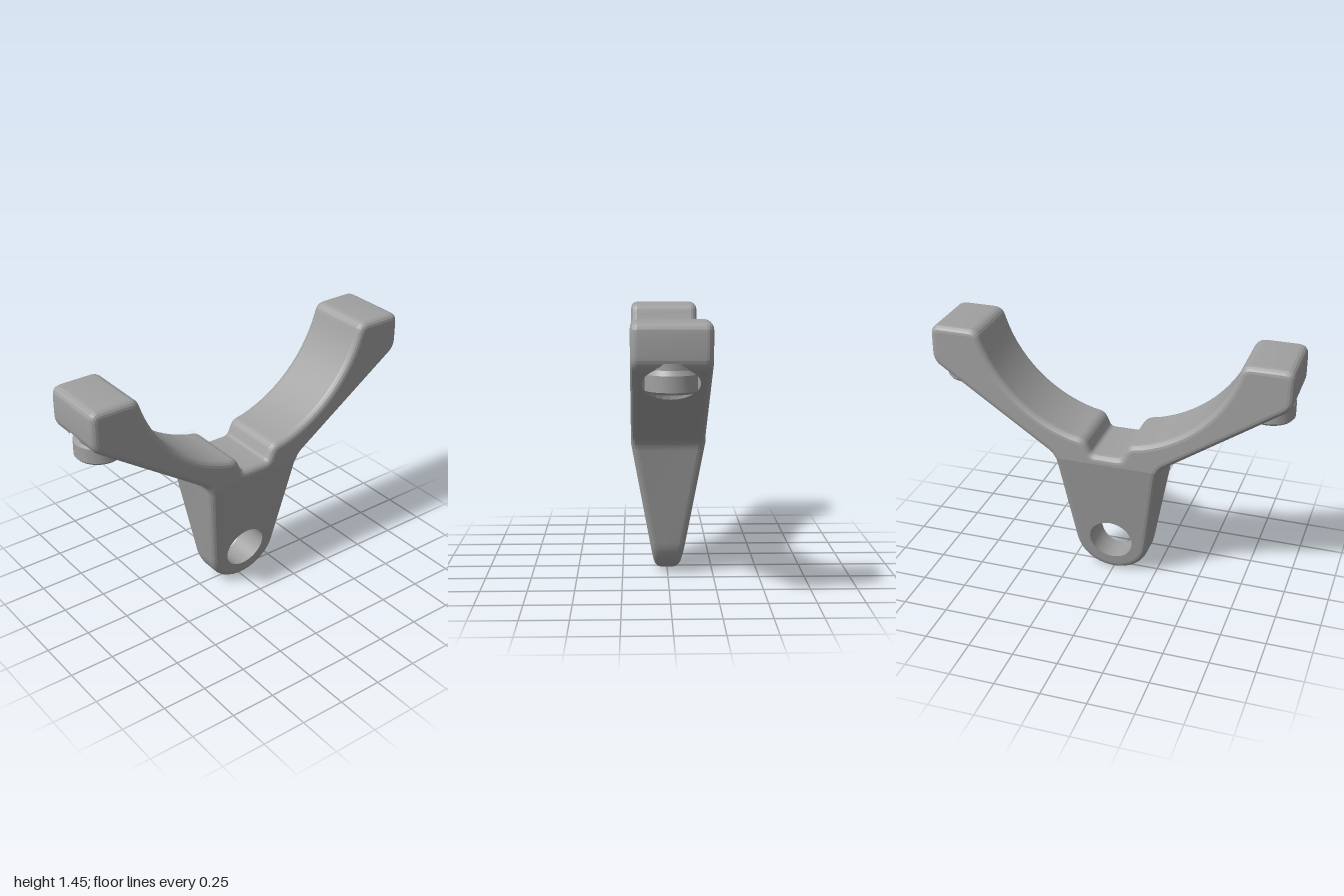
import * as THREE from 'three';
import { toCreasedNormals } from 'three/addons/utils/BufferGeometryUtils.js';

const LUG_Y = 0.215, LUG_R = 0.215, HOLE_R = 0.125;
const BEVEL = 0.035, HALF_DEPTH = 0.2, TAPER_Y = 0.75, TAPER = 0.179;
const BOLT_X = 0.855, POCKET_R = 0.145, POCKET_TOP = 1.25, SIDES = 24;

// Corner list [x, y, cut]: a corner with a cut is rounded off by that length
function roundedOutline(corners) {
  const out = [];
  const v = corners.map(([x, y]) => new THREE.Vector2(x, y));
  const n = v.length;
  corners.forEach(([, , cut], i) => {
    if (!cut) { out.push(v[i]); return; }
    const toward = (q) => v[i].clone().add(q.clone().sub(v[i]).setLength(cut));
    const curve = new THREE.QuadraticBezierCurve(toward(v[(i + n - 1) % n]), v[i], toward(v[(i + 1) % n]));
    out.push(...curve.getPoints(5));
  });
  return out;
}

// Y-shaped outline: lug, arms, round saddle and notch
function bodyShape() {
  const half = [
    [0.298, 0.76, 0.05],
    [1, 1.235, 0.05],
    [1, 1.448, 0.055],
    [0.727, 1.448, 0.05],
  ];
  for (let i = 0; i <= 14; i++) {
    const a = 1.25 - (i / 14) * 0.99;
    half.push([0.746 * Math.sin(a), 1.62 - 0.746 * Math.cos(a), 0]);
  }
  half.push([0.122, 0.887, 0.04], [0.085, 0.8, 0.022]);
  const mirrored = half.map(([x, y, c]) => [-x, y, c]).reverse();
  const lug = [];
  for (let i = 0; i <= 20; i++) {
    const a = Math.PI + 0.15 + (i / 20) * (Math.PI - 0.3);
    lug.push([LUG_R * Math.cos(a), LUG_Y + LUG_R * Math.sin(a), 0]);
  }
  const shape = new THREE.Shape(roundedOutline([...lug, ...half, ...mirrored]));
  const hole = new THREE.Path();
  hole.absarc(0, LUG_Y, HOLE_R, 0, Math.PI * 2, true);
  shape.holes.push(hole);
  return shape;
}

// Polygon helpers for cutting
function toPolys(geometry) {
  const g = geometry.index ? geometry.toNonIndexed() : geometry;
  const p = g.attributes.position, polys = [];
  for (let i = 0; i < p.count; i += 3) {
    polys.push([0, 1, 2].map((k) => new THREE.Vector3().fromBufferAttribute(p, i + k)));
  }
  return polys;
}

// Returns [part in front of the plane, part behind it]
function split(poly, plane) {
  const front = [], back = [];
  const d = poly.map((p) => {
    const s = plane.distanceToPoint(p);
    return Math.abs(s) < 1e-6 ? 0 : s;
  });
  poly.forEach((p, i) => {
    const j = (i + 1) % poly.length;
    if (d[i] >= 0) front.push(p.clone());
    if (d[i] <= 0) back.push(p.clone());
    if (d[i] * d[j] < 0) {
      const m = p.clone().lerp(poly[j], d[i] / (d[i] - d[j]));
      front.push(m);
      back.push(m.clone());
    }
  });
  return [d.some((s) => s > 0) ? front : [], d.some((s) => s < 0) ? back : []];
}

// Removes the convex volume bounded by outward planes
function subtract(polys, planes) {
  return polys.flatMap((poly) => {
    const kept = [];
    let rest = poly;
    for (const plane of planes) {
      const [outside, inside] = split(rest, plane);
      if (outside.length > 2) kept.push(outside);
      rest = inside;
      if (rest.length < 3) return [poly];
    }
    return kept;
  });
}

function clipBehind(polys, plane) {
  return polys.map((p) => split(p, plane)[1]).filter((p) => p.length > 2);
}

function toGeometry(polys) {
  const pos = [], tri = new THREE.Triangle();
  for (const p of polys) {
    for (let i = 1; i < p.length - 1; i++) {
      tri.set(p[0], p[i], p[i + 1]);
      if (tri.getArea() > 1e-9) [p[0], p[i], p[i + 1]].forEach((q) => pos.push(q.x, q.y, q.z));
    }
  }
  const g = new THREE.BufferGeometry();
  g.setAttribute('position', new THREE.Float32BufferAttribute(pos, 3));
  return toCreasedNormals(g, 0.165);
}

function bodyGeometry() {
  const depth = 2 * (HALF_DEPTH - BEVEL);
  const solid = new THREE.ExtrudeGeometry(bodyShape(), {
    depth, curveSegments: 20, bevelEnabled: true, bevelSize: BEVEL,
    bevelThickness: BEVEL, bevelOffset: -BEVEL, bevelSegments: 4,
  }).translate(0, 0, -depth / 2);

  // Crease at the top of the lug, then narrow the lug toward its foot
  const crease = new THREE.Plane(new THREE.Vector3(0, 1, 0), -TAPER_Y);
  let polys = toPolys(solid).flatMap((p) => split(p, crease).filter((q) => q.length > 2));
  for (const p of polys.flat()) {
    const r = Math.hypot(p.x, p.y - LUG_Y);
    if (r < 0.168) { // keep the hole a straight bore
      p.x *= HOLE_R / r;
      p.y = LUG_Y + (p.y - LUG_Y) * HOLE_R / r;
    }
    if (p.y < TAPER_Y) p.z -= Math.sign(p.z) * TAPER * (TAPER_Y - p.y);
  }

  // Round pocket for the bolt head under each arm
  for (const side of [1, -1]) {
    const planes = [new THREE.Plane(new THREE.Vector3(0, 1, 0), -POCKET_TOP)];
    for (let i = 0; i < SIDES; i++) {
      const a = ((i + 0.5) / SIDES) * Math.PI * 2;
      const n = new THREE.Vector3(Math.sin(a), 0, Math.cos(a));
      planes.push(new THREE.Plane(n, -n.x * side * BOLT_X - POCKET_R * Math.cos(Math.PI / SIDES)));
    }
    polys = subtract(polys, planes);
    const drum = new THREE.CylinderGeometry(POCKET_R, POCKET_R, 0.25, SIDES)
      .translate(side * BOLT_X, POCKET_TOP - 0.125, 0);
    let walls = toPolys(drum).map((p) => p.reverse());
    const underside = new THREE.Plane().setFromNormalAndCoplanarPoint(
      new THREE.Vector3(side * 0.66, -1, 0).normalize(), new THREE.Vector3(side * 0.957, 1.206, 0));
    walls = clipBehind(walls, underside);
    walls = clipBehind(walls, new THREE.Plane(new THREE.Vector3(side, 0, 0), -0.99));
    polys.push(...walls);
  }
  return toGeometry(polys);
}

// Socket-head bolt, seen from below
function createBolt(material) {
  const bolt = new THREE.Group();
  const add = (name, geometry, y = 0) => {
    const mesh = new THREE.Mesh(geometry, material);
    mesh.name = name;
    mesh.position.y = y;
    bolt.add(mesh);
  };
  const profile = [[0.12, 1.098], [0.13, 1.11], [0.13, 1.19], [0.115, 1.215], [0.115, 1.25]];
  const head = new THREE.LatheGeometry(profile.map(([x, y]) => new THREE.Vector2(x, y)), 32);
  add('boltHead', toCreasedNormals(head, 0.4));

  const ring = new THREE.Shape().absarc(0, 0, 0.12, 0, Math.PI * 2, false);
  const hex = [];
  for (let i = 0; i < 6; i++) {
    const a = (i / 6) * Math.PI * 2;
    hex.push(new THREE.Vector2(0.072 * Math.sin(a), 0.072 * Math.cos(a)));
  }
  ring.holes.push(new THREE.Path(hex));
  add('boltFace', new THREE.ShapeGeometry(ring, 16).rotateX(Math.PI / 2), 1.098);

  const socket = new THREE.CylinderGeometry(0.072, 0.072, 0.06, 6, 1, true);
  add('socketWall', toCreasedNormals(socket, 0.2), 1.128);
  add('socketFloor', new THREE.CircleGeometry(0.075, 12).rotateX(Math.PI / 2), 1.158);
  return bolt;
}

export function createModel() {
  const group = new THREE.Group();
  group.name = 'clampBracket';
  const metal = new THREE.MeshStandardMaterial({ color: 0xa0a0a0, side: THREE.DoubleSide });
  metal.name = 'greyMetal';

  const body = new THREE.Mesh(bodyGeometry(), metal);
  body.name = 'bracketBody';
  group.add(body);

  for (const side of [1, -1]) {
    const bolt = createBolt(metal);
    bolt.name = side > 0 ? 'leftBolt' : 'rightBolt';
    bolt.position.x = side * BOLT_X;
    group.add(bolt);
  }
  return group;
}
